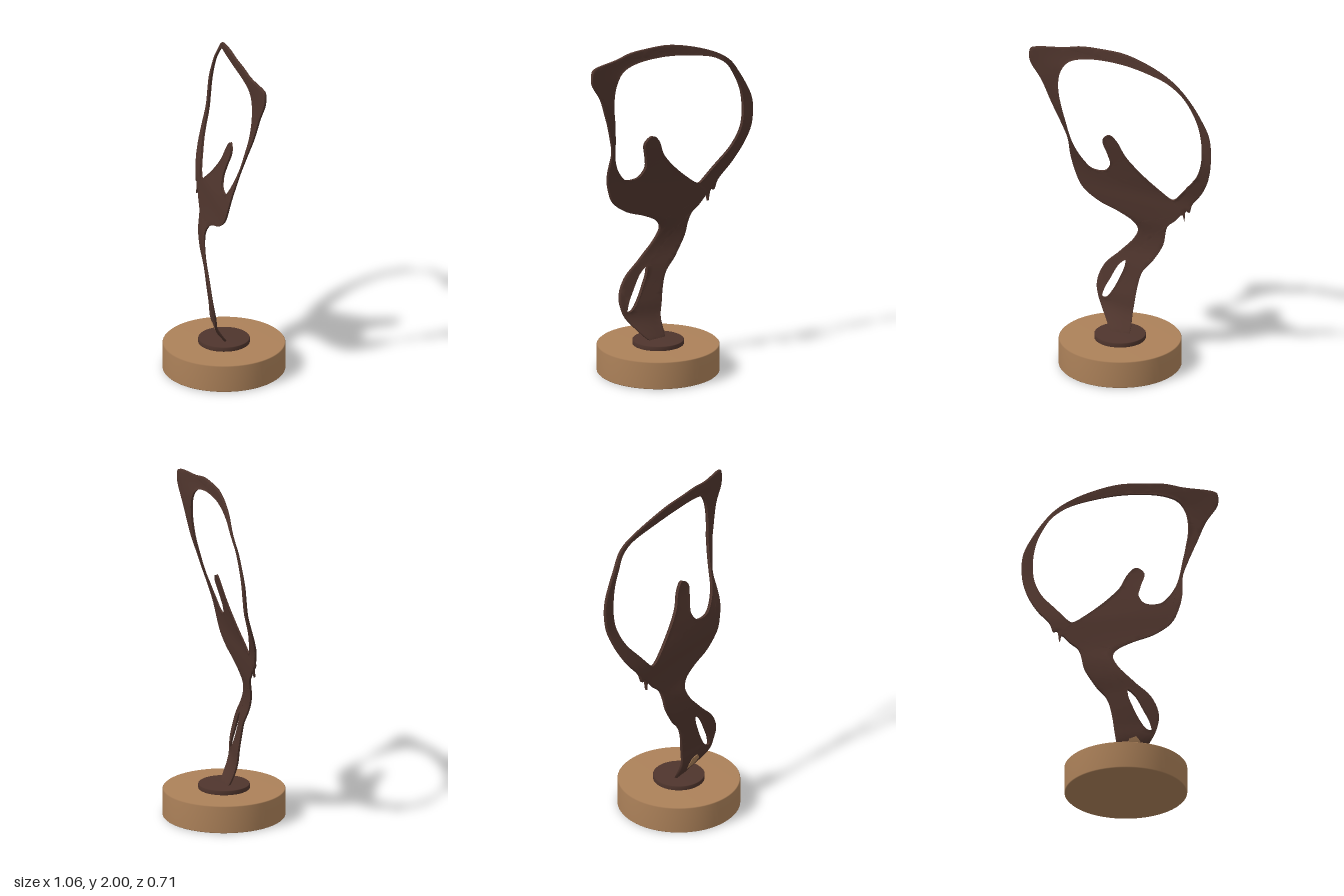
import * as THREE from 'three';
import { toCreasedNormals } from 'three/addons/utils/BufferGeometryUtils.js';

const bronze = new THREE.MeshStandardMaterial({ name: 'dark bronze', color: 0x4f352d, side: THREE.DoubleSide });
const wood = new THREE.MeshStandardMaterial({ name: 'light wood', color: 0xac8159 });

// The sheet bends by height: at each y, z = offset + slope * x + bow * x * x
const BEND = [ // y, offset, slope, bow
  [0.18, 0.005, 0.3, 0], [0.3, 0.075, 0.55, 0], [0.4, 0.09, 0.6, 0], [0.5, 0.107, 0.63, 0],
  [0.6, 0.12, 0.64, 0], [0.7, 0.132, 0.6, 0], [0.8, 0.122, 0.55, 0], [0.9, 0.088, 0.48, 0],
  [1.0, 0.07, 0.46, 0], [1.1, 0.058, 0.46, 0], [1.2, 0.035, 0.48, 0], [1.3, 0.008, 0.475, -0.05],
  [1.4, -0.019, 0.46, -0.1], [1.5, -0.037, 0.44, -0.12], [1.6, -0.048, 0.42, -0.15],
  [1.75, -0.055, 0.423, -0.2], [1.85, -0.068, 0.45, -0.2], [1.93, -0.054, 0.46, -0.28],
  [2.0, -0.048, 0.46, -0.3],
];
const bendCurve = new THREE.CatmullRomCurve3(
  BEND.map(([, offset, slope, bow]) => new THREE.Vector3(offset, slope, bow)), false, 'catmullrom');

function sheetZ(x, y) {
  let i = 0;
  while (i < BEND.length - 2 && y > BEND[i + 1][0]) i++;
  const t = THREE.MathUtils.clamp((y - BEND[i][0]) / (BEND[i + 1][0] - BEND[i][0]), 0, 1);
  const b = bendCurve.getPoint((i + t) / (BEND.length - 1));
  return b.x + b.y * x + b.z * x * x;
}

// Smooth closed outline through a few points
function smooth(points, perPoint = 5) {
  const curve = new THREE.CatmullRomCurve3(
    points.map(([x, y]) => new THREE.Vector3(x, y, 0)), true, 'centripetal');
  const out = [];
  const n = points.length * perPoint;
  for (let i = 0; i < n; i++) {
    const p = curve.getPoint(i / n);
    out.push(new THREE.Vector2(p.x, Math.min(p.y, 2)));
  }
  return out;
}

// Halve the longest edge of a triangle until all edges are short
function split(a, b, c, out) {
  const [ab, bc, ca] = [a.distanceTo(b), b.distanceTo(c), c.distanceTo(a)];
  const longest = Math.max(ab, bc, ca);
  if (longest < 0.04) {
    out.push(a, b, c);
  } else if (longest === ab) {
    const m = a.clone().add(b).multiplyScalar(0.5);
    split(a, m, c, out);
    split(m, b, c, out);
  } else if (longest === bc) {
    split(b, c, a, out);
  } else {
    split(c, a, b, out);
  }
}

// Extrude a flat shape, refine it and bend it onto the sheet
function bentPlate(shape, depth, bevel, lift) {
  const flat = new THREE.ExtrudeGeometry(shape, {
    depth, bevelEnabled: bevel > 0, bevelThickness: bevel, bevelSize: bevel * 0.6,
    bevelOffset: -bevel * 0.6, bevelSegments: 2,
  }).attributes.position;
  const corner = (i) => new THREE.Vector3().fromBufferAttribute(flat, i);
  const points = [];
  for (let i = 0; i < flat.count; i += 3) split(corner(i), corner(i + 1), corner(i + 2), points);
  const bent = points.map(
    (p) => new THREE.Vector3(p.x, p.y, p.z + lift - depth / 2 + sheetZ(p.x, p.y)));
  return toCreasedNormals(new THREE.BufferGeometry().setFromPoints(bent), 0.8);
}

const OUTLINE = [
  [-0.045, 0.18], [-0.075, 0.32], [-0.1, 0.47], [-0.13, 0.57], [-0.19, 0.65], [-0.25, 0.76],
  [-0.275, 0.89], [-0.32, 0.94], [-0.362, 0.99], [-0.374, 0.95], [-0.384, 1.02], [-0.403, 1.015],
  [-0.42, 1.07], [-0.475, 1.16], [-0.515, 1.28], [-0.532, 1.45], [-0.52, 1.58], [-0.47, 1.69],
  [-0.415, 1.78], [-0.355, 1.855], [-0.29, 1.905], [-0.18, 1.955], [-0.01, 1.998], [0.22, 1.998],
  [0.33, 1.978], [0.5, 1.965], [0.523, 1.953], [0.527, 1.88], [0.46, 1.765], [0.405, 1.63],
  [0.342, 1.48], [0.308, 1.385], [0.29, 1.25], [0.262, 1.14], [0.22, 1.05], [0.125, 0.976],
  [0.01, 0.93], [-0.075, 0.88], [-0.103, 0.83], [-0.08, 0.76], [0, 0.658], [0.09, 0.557],
  [0.137, 0.44], [0.13, 0.36], [0.095, 0.27], [0.04, 0.18],
];
const RING_HOLE = [
  [-0.315, 1.075], [-0.39, 1.18], [-0.453, 1.29], [-0.48, 1.45], [-0.46, 1.63], [-0.4, 1.765],
  [-0.35, 1.83], [-0.28, 1.878], [-0.178, 1.908], [0.01, 1.935], [0.22, 1.926], [0.31, 1.89],
  [0.353, 1.82], [0.363, 1.71], [0.342, 1.58], [0.32, 1.49], [0.297, 1.395], [0.268, 1.315],
  [0.22, 1.236], [0.167, 1.185], [0.088, 1.188], [0.056, 1.245], [0.072, 1.315], [0.1, 1.41],
  [0.062, 1.448], [0.02, 1.41], [-0.03, 1.315], [-0.125, 1.21], [-0.23, 1.12], [-0.295, 1.075],
];
const LOWER_HOLE = [
  [-0.03, 0.615], [0.01, 0.578], [0.06, 0.483], [0.1, 0.4], [0.107, 0.355], [0.083, 0.355],
  [0.04, 0.414], [-0.003, 0.504], [-0.028, 0.573],
];
const PATCH = [
  [-0.01, 0.31], [0.024, 0.322], [0.05, 0.29], [0.04, 0.24], [0.008, 0.228], [-0.012, 0.27],
];

// Round block with softened rims
function disc(name, radius, bottom, top, rim, material) {
  const profile = [
    [0, bottom], [radius - rim, bottom], [radius, bottom + rim],
    [radius, top - rim], [radius - rim, top], [0, top],
  ].map(([x, y]) => new THREE.Vector2(x, y));
  const mesh = new THREE.Mesh(new THREE.LatheGeometry(profile, 72), material);
  mesh.name = name;
  return mesh;
}

export function createModel() {
  const group = new THREE.Group();
  group.name = 'abstractSculpture';

  // Pedestal
  group.add(disc('woodenBase', 0.357, 0, 0.165, 0.005, wood));
  group.add(disc('mountingDisc', 0.15, 0.163, 0.192, 0.003, bronze));

  // Flowing figure with a raised ring and a small loop at the foot
  const shape = new THREE.Shape(smooth(OUTLINE));
  for (const hole of [RING_HOLE, LOWER_HOLE]) shape.holes.push(new THREE.Path(smooth(hole)));
  const figure = new THREE.Mesh(bentPlate(shape, 0.008, 0.004, 0), bronze);
  figure.name = 'flowingFigure';
  group.add(figure);

  // Light patch near the foot
  const patchShape = new THREE.Shape(PATCH.map(([x, y]) => new THREE.Vector2(x, y)));
  const patch = new THREE.Mesh(bentPlate(patchShape, 0.006, 0, 0.009), wood);
  patch.name = 'footPatch';
  group.add(patch);

  return group;
}
